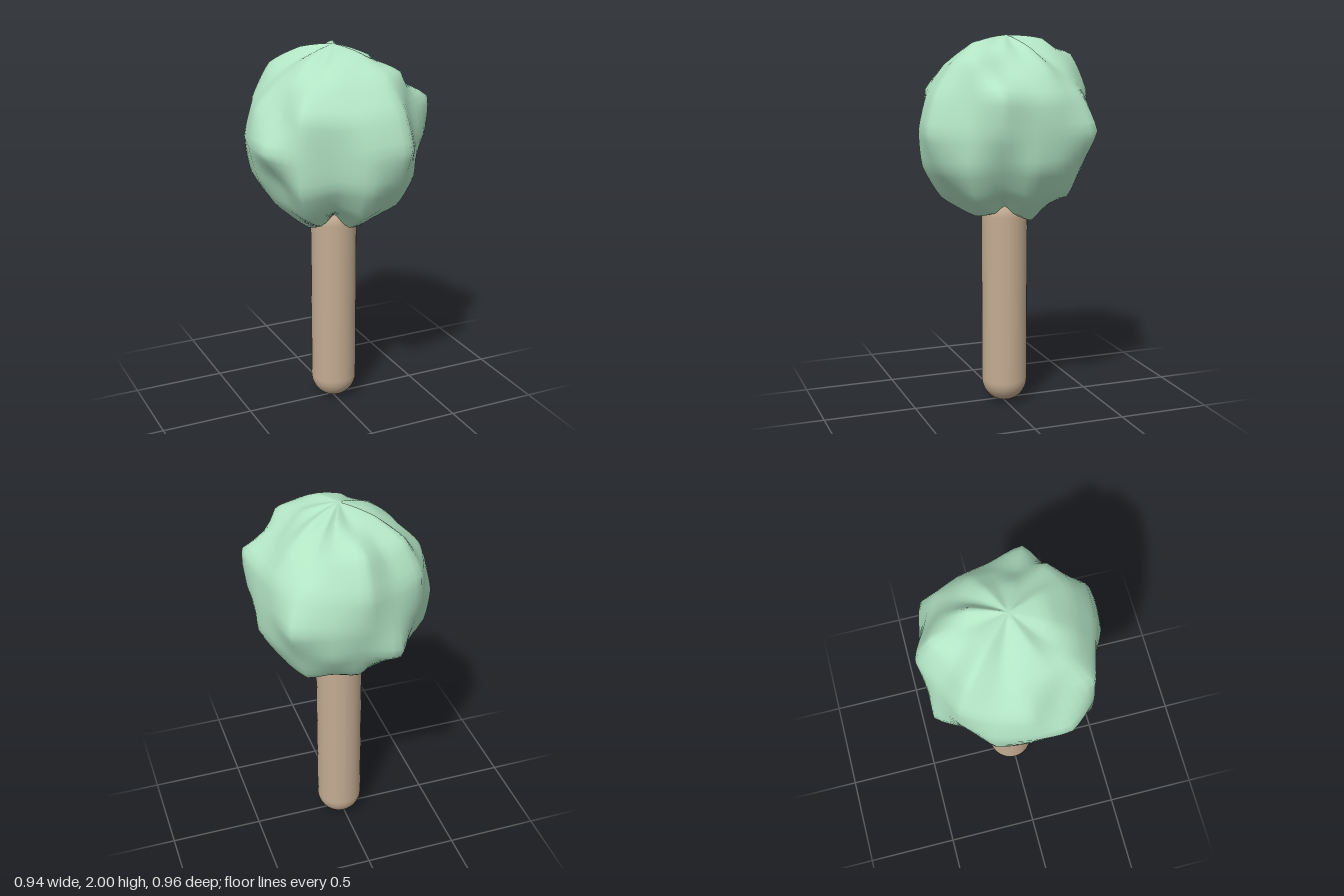
import * as THREE from 'three';
import { mergeVertices } from 'three/addons/utils/BufferGeometryUtils.js';

// Crown radius (in hundredths) on rings 22.5 degrees apart from the top down,
// each read round from +x towards +z
const rings = [
  [48],
  [44, 46, 46, 49, 48, 47, 44, 46, 45, 44, 49, 48, 47, 50, 43, 46],
  [43, 43, 51, 50, 46, 46, 47, 45, 44, 44, 51, 47, 53, 47, 43, 45],
  [45, 53, 45, 51, 47, 46, 51, 43, 47, 46, 49, 45, 50, 45, 47, 45],
  [44, 48, 45, 53, 48, 43, 49, 52, 48, 47, 45, 45, 45, 45, 52, 44],
  [47, 44, 48, 50, 50, 45, 52, 44, 47, 48, 44, 51, 44, 46, 47, 46],
  [48, 44, 50, 48, 51, 45, 52, 48, 48, 48, 47, 43, 47, 46, 50, 48],
  [48, 42, 48, 50, 50, 42, 49, 51, 50, 49, 48, 48, 47, 46, 43, 52],
  [45],
];
const step = Math.PI / 8;

// Point of the coarse crown on ring j, spoke k; rings carry on over the poles
function corner(j, k) {
  if (j < 0 || j > 8) {
    j = j < 0 ? -j : 16 - j;
    k += 8;
  }
  const r = rings[j][(k + 32) % rings[j].length] / 100;
  return new THREE.Vector3(
    r * Math.sin(j * step) * Math.cos(k * step),
    r * Math.cos(j * step),
    r * Math.sin(j * step) * Math.sin(k * step)
  );
}

// Weights of four neighbours: halfway between straight edges and a smooth curve
function weights(t) {
  const a = t * t;
  const b = a * t;
  return [
    (-t + 2 * a - b) / 4,
    1 - (2 * t + 5 * a - 3 * b) / 4,
    (3 * t + 4 * a - 3 * b) / 4,
    (b - a) / 4,
  ];
}

function crownPoint(azimuth, polar) {
  const u = azimuth / step;
  const v = polar / step;
  const k = Math.floor(u + 1e-6);
  const j = Math.min(Math.floor(v + 1e-6), 7);
  const wu = weights(u - k);
  const wv = weights(v - j);
  const point = new THREE.Vector3();
  for (let m = 0; m < 4; m++) {
    for (let n = 0; n < 4; n++) {
      point.addScaledVector(corner(j + m - 1, k + n - 1), wv[m] * wu[n]);
    }
  }
  return point;
}

export function createModel() {
  const group = new THREE.Group();

  // Rounded trunk
  const radius = 0.124;
  const trunk = new THREE.Mesh(
    new THREE.CapsuleGeometry(radius, 0.92, 12, 32),
    new THREE.MeshStandardMaterial({ color: 0xc4ac92 })
  );
  trunk.name = 'trunk';
  trunk.position.set(0.013, 0.46 + radius, -0.01);
  group.add(trunk);

  // Lumpy crown: a sphere pushed in and out
  let geometry = new THREE.SphereGeometry(1, 64, 32);
  geometry.deleteAttribute('uv');
  geometry.deleteAttribute('normal');
  const p = geometry.attributes.position;
  for (let i = 0; i < p.count; i++) {
    const polar = Math.acos(THREE.MathUtils.clamp(p.getY(i), -1, 1));
    const point = crownPoint(Math.atan2(p.getZ(i), p.getX(i)), polar);
    p.setXYZ(i, point.x, point.y, point.z);
  }
  geometry = mergeVertices(geometry, 1e-5);
  geometry.computeVertexNormals();
  const crown = new THREE.Mesh(geometry, new THREE.MeshStandardMaterial({ color: 0xb2e4c4 }));
  crown.name = 'crown';
  crown.position.set(0.015, 1.52, -0.015);
  group.add(crown);

  return group;
}
